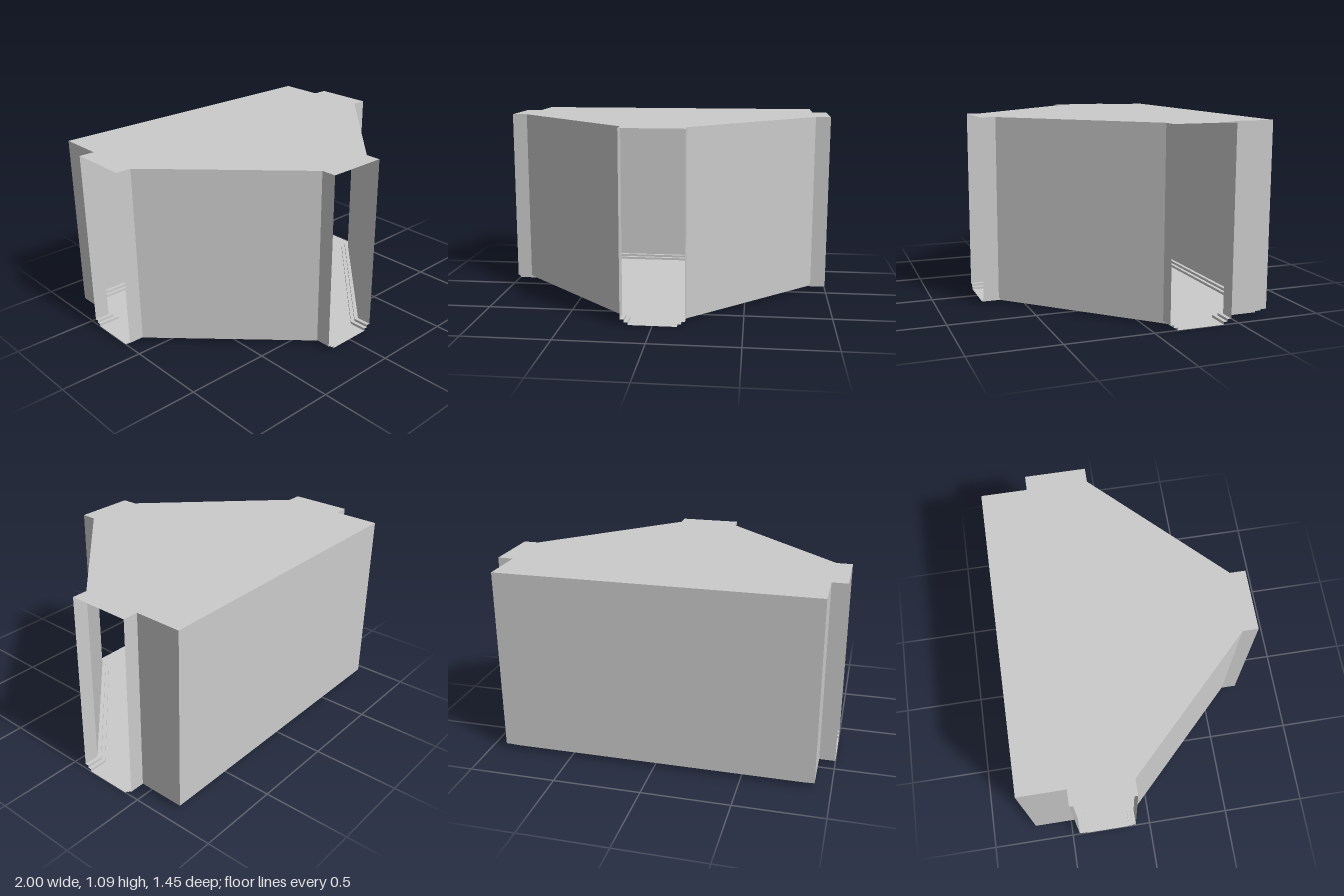
import * as THREE from 'three';

const U = 1 / 11; // plan grid unit
const HEIGHT = 12 * U;
const material = new THREE.MeshStandardMaterial({ color: 0xcccccc, flatShading: true, side: THREE.DoubleSide });

// Wall section from ceiling to floor: [inset into the room, height]
const SECTION = [[0, HEIGHT], [0, 0.03], [0.022, 0.03], [0.022, 0.015], [0.044, 0.015], [0.044, 0]];

// Wall plans (x, z) in grid units, running doorway to doorway with the room on the inner side
const side = [[2, 8], [2, 7], [10, -1], [11, -1]];
const back = [[11, -5], [10, -5], [10, -8], [-10, -8], [-10, -5], [-11, -5]];
const mirrored = side.map(([x, z]) => [-x, z]).reverse();
const toPath = (pts) => pts.map(([x, z]) => new THREE.Vector2(x * U, z * U));
const walls = { leftWall: toPath(side), backWall: toPath(back), rightWall: toPath(mirrored) };

// Shift an open path inward, mitring its corners
function inset(path, d) {
  const normals = path.slice(1).map((p, i) => {
    const t = p.clone().sub(path[i]).normalize();
    return new THREE.Vector2(t.y, -t.x);
  });
  return path.map((p, i) => {
    const a = normals[Math.max(i - 1, 0)];
    const b = normals[Math.min(i, normals.length - 1)];
    return p.clone().addScaledVector(a.clone().add(b), d / (1 + a.dot(b)));
  });
}

// Sweep the stepped section along a wall path
function wallGeometry(path) {
  const rows = SECTION.map(([d, y]) => inset(path, d).map((p) => [p.x, y, p.y]));
  const positions = [];
  for (let j = 0; j < rows.length - 1; j++) {
    for (let i = 0; i < path.length - 1; i++) {
      const a = rows[j][i], b = rows[j][i + 1], c = rows[j + 1][i], d = rows[j + 1][i + 1];
      positions.push(...a, ...c, ...b, ...b, ...c, ...d);
    }
  }
  const geometry = new THREE.BufferGeometry();
  geometry.setAttribute('position', new THREE.Float32BufferAttribute(positions, 3));
  geometry.computeVertexNormals();
  return geometry;
}

// Horizontal slab surface bounded by the inset wall paths
function slabGeometry(d, y) {
  const outline = Object.values(walls).flatMap((path) => inset(path, d));
  const shape = new THREE.Shape(outline.map((p) => new THREE.Vector2(p.x, -p.y)));
  return new THREE.ShapeGeometry(shape).rotateX(-Math.PI / 2).translate(0, y, 0);
}

export function createModel() {
  const room = new THREE.Group();
  room.name = 'room';
  const add = (name, geometry) => {
    const mesh = new THREE.Mesh(geometry, material);
    mesh.name = name;
    room.add(mesh);
  };

  // Walls with stepped bases, leaving three open doorways
  for (const [name, path] of Object.entries(walls)) add(name, wallGeometry(path));

  // Floor and ceiling
  add('floor', slabGeometry(SECTION.at(-1)[0], 0));
  add('ceiling', slabGeometry(0, HEIGHT));
  return room;
}
